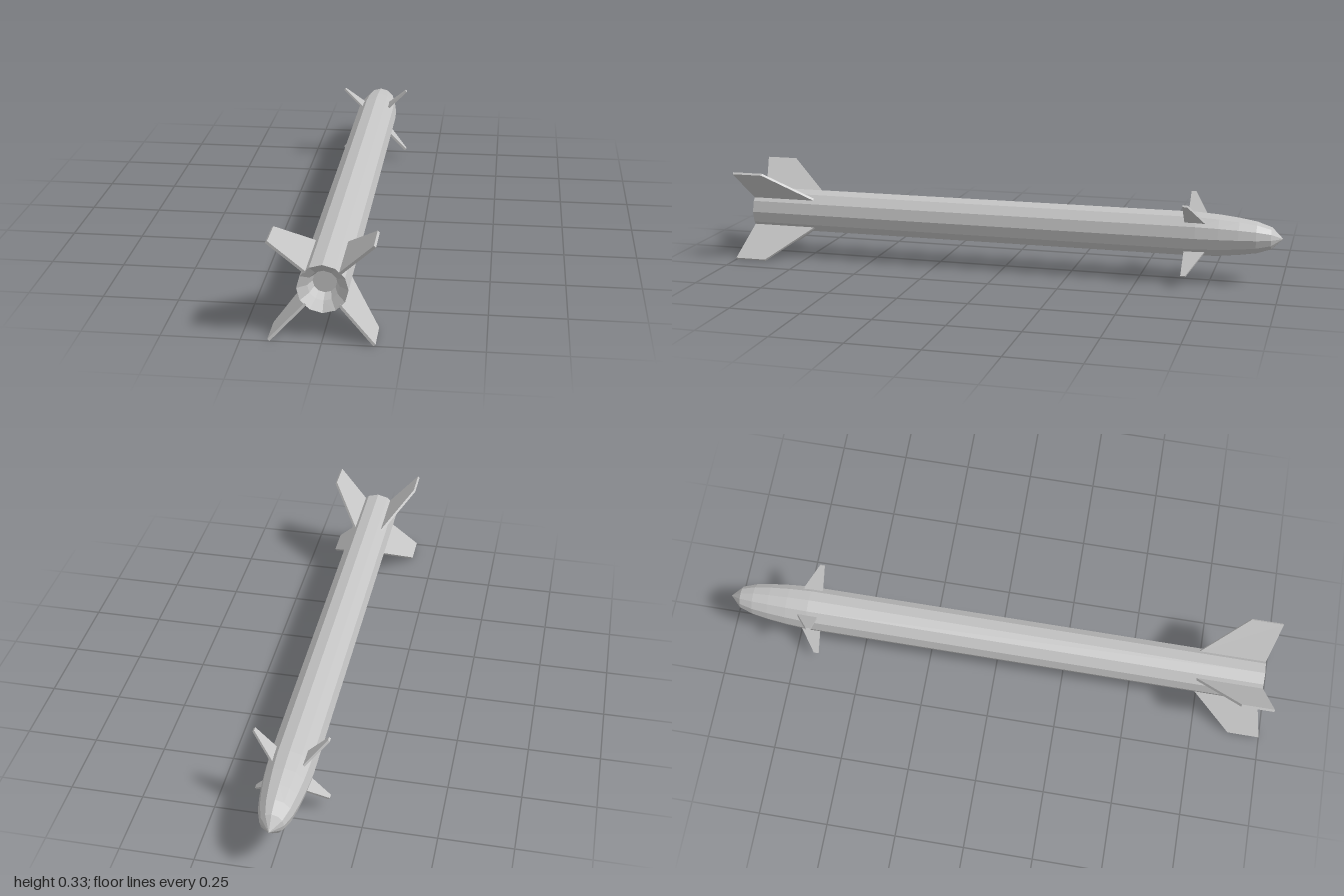
import * as THREE from 'three';

const AXIS_HEIGHT = 0.1675;

export function createModel() {
  const model = new THREE.Group();
  model.name = 'missile';
  const grey = new THREE.MeshStandardMaterial({ color: 0xc4c4c4, flatShading: true });
  grey.name = 'light grey';

  // Twelve-sided turned part along z; profile points are [radius, z]
  function turned(name, profile) {
    const points = profile.map(([r, z]) => new THREE.Vector2(r, z));
    const geometry = new THREE.LatheGeometry(points, 12).rotateX(Math.PI / 2);
    const mesh = new THREE.Mesh(geometry, grey);
    mesh.name = name;
    mesh.position.y = AXIS_HEIGHT;
    model.add(mesh);
  }

  // Four flat fins in an X; outline points are [radius, z]
  function finSet(name, outline, thickness) {
    const shape = new THREE.Shape(outline.map(([r, z]) => new THREE.Vector2(r, z)));
    const geometry = new THREE.ExtrudeGeometry(shape, { depth: thickness, bevelEnabled: false })
      .translate(0, 0, -thickness / 2)
      .rotateX(Math.PI / 2);
    const group = new THREE.Group();
    group.name = name + 's';
    group.position.y = AXIS_HEIGHT;
    for (let i = 0; i < 4; i++) {
      const fin = new THREE.Mesh(geometry, grey);
      fin.name = name;
      fin.rotation.z = Math.PI / 4 + i * Math.PI / 2;
      group.add(fin);
    }
    model.add(group);
  }

  // Rounded nose, tube and hollow exhaust
  turned('nose', [[0, -1], [0.04, -0.96], [0.057, -0.91], [0.067, -0.85], [0.075, -0.78], [0.08, -0.7]]);
  turned('body', [[0.08, -0.7], [0.08, 0.965]]);
  turned('exhaust', [[0.08, 0.965], [0.05, 0.94], [0.038, 0.905], [0, 0.905]]);

  // Swept tail fins and small forward fins
  finSet('tailFin', [[0.074, 0.725], [0.23, 0.885], [0.23, 1], [0.074, 0.965]], 0.009);
  finSet('forwardFin', [[0.072, -0.735], [0.177, -0.678], [0.177, -0.661], [0.072, -0.661]], 0.008);

  return model;
}
